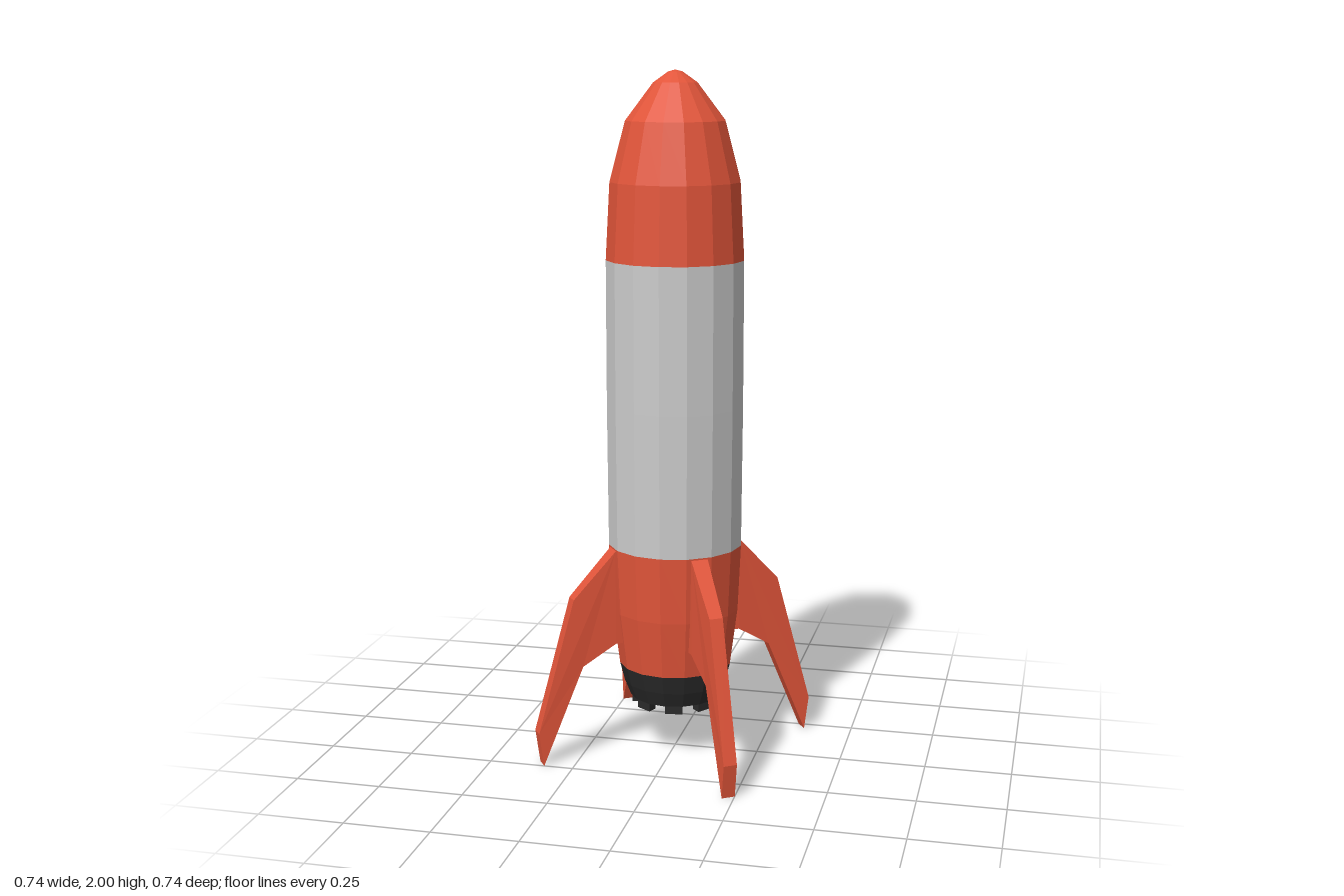
import * as THREE from 'three';

const SIDES = 16;
const paint = (color) => new THREE.MeshStandardMaterial({ color, flatShading: true });

export function createModel() {
  const rocket = new THREE.Group();
  rocket.name = 'rocket';
  const red = paint(0xe2553a), grey = paint(0xcccccc), black = paint(0x2a2a2a);

  const add = (name, geometry, material) => {
    const mesh = new THREE.Mesh(geometry, material);
    mesh.name = name;
    rocket.add(mesh);
    return mesh;
  };

  // Faceted turned section; profile of [radius, y] runs from bottom to top
  const turned = (name, profile, material) =>
    add(name, new THREE.LatheGeometry(profile.map(([r, y]) => new THREE.Vector2(r, y)), SIDES), material);

  turned('noseCone', [[0.2, 1.47], [0.188, 1.69], [0.143, 1.86], [0.063, 1.965], [0.02, 1.995], [0, 2]], red);
  turned('fuselage', [[0.197, 0.635], [0.2, 1.05], [0.2, 1.47]], grey);
  turned('tailSection', [[0.166, 0.27], [0.188, 0.44], [0.197, 0.635]], red);
  turned('engineNozzle', [[0, 0.17], [0.134, 0.17], [0.152, 0.215], [0.166, 0.27]], black);

  // Ring of teeth under the nozzle, on every other facet
  const step = (Math.PI * 2) / SIDES;
  const polar = (r, a) => [r * Math.cos(a), r * Math.sin(a)];
  for (let i = 0; i < SIDES; i += 2) {
    const a = i * step, b = a + step;
    const wedge = new THREE.Shape();
    wedge.moveTo(...polar(0.1, a));
    wedge.lineTo(...polar(0.13, a));
    wedge.lineTo(...polar(0.13, b));
    wedge.lineTo(...polar(0.1, b));
    wedge.closePath();
    const tooth = new THREE.ExtrudeGeometry(wedge, { depth: 0.027, bevelEnabled: false });
    tooth.rotateX(-Math.PI / 2).translate(0, 0.145, 0);
    add('nozzleTooth', tooth, black);
  }

  // Swept fin: outline in radius and height, thickest at its root
  const outline = [[0.17, 0.635], [0.195, 0.63], [0.322, 0.495], [0.432, 0.1], [0.418, 0],
    [0.295, 0.29], [0.195, 0.35], [0.165, 0.35]];
  const finShape = new THREE.Shape(outline.map(([r, y]) => new THREE.Vector2(r, y)));
  const finGeometry = new THREE.ExtrudeGeometry(finShape, { depth: 1, bevelEnabled: false });
  const pos = finGeometry.attributes.position;
  for (let i = 0; i < pos.count; i++) {
    const thickness = pos.getX(i) < 0.2 ? 0.05 : 0.04;
    pos.setZ(i, (pos.getZ(i) - 0.5) * thickness);
  }
  finGeometry.computeVertexNormals();

  for (let i = 0; i < 4; i++) {
    const fin = add('fin', finGeometry, red);
    fin.rotation.y = THREE.MathUtils.degToRad(34 + 90 * i);
  }

  return rocket;
}
